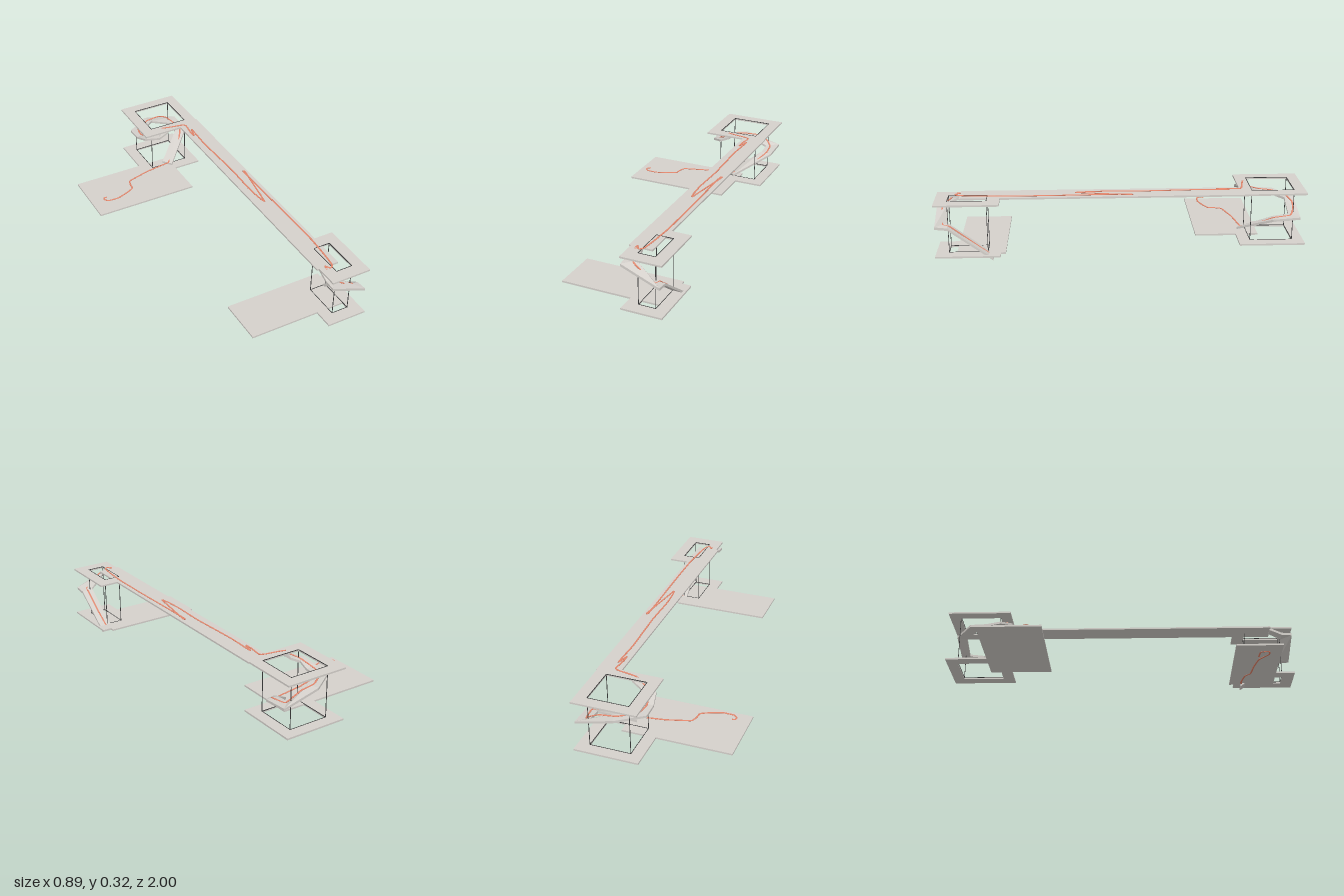
import * as THREE from 'three';

const concrete = new THREE.MeshStandardMaterial({ name: 'concrete grey', color: 0xd4d0cb, side: THREE.DoubleSide });
const steel = new THREE.MeshStandardMaterial({ name: 'dark steel', color: 0x3a3a3a });
const trail = new THREE.MeshStandardMaterial({ name: 'route red', color: 0xe2866c });

const LOW = 0.0215, HIGH = 0.3085, THICK = 0.0095;

function add(parent, name, geometry, material) {
  const mesh = new THREE.Mesh(geometry, material);
  mesh.name = name;
  parent.add(mesh);
  return mesh;
}

// Flat slab given by its plan rectangle and underside height
function slab(parent, name, [x0, x1, z0, z1], y) {
  const g = new THREE.BoxGeometry(x1 - x0, THICK, z1 - z0);
  g.translate((x0 + x1) / 2, y + THICK / 2, (z0 + z1) / 2);
  add(parent, name, g, concrete);
}

// Rectangular slab with a rectangular stair well
function frame(parent, name, [x0, x1, z0, z1], [a0, a1, b0, b1], y) {
  const s = new THREE.Shape([[x0, -z0], [x0, -z1], [x1, -z1], [x1, -z0]].map(p => new THREE.Vector2(...p)));
  s.holes.push(new THREE.Path([[a0, -b0], [a1, -b0], [a1, -b1], [a0, -b1]].map(p => new THREE.Vector2(...p))));
  const g = new THREE.ExtrudeGeometry(s, { depth: THICK, bevelEnabled: false });
  g.rotateX(-Math.PI / 2);
  g.translate(0, y, 0);
  add(parent, name, g, concrete);
}

// Slender posts at the well corners, with rims at floor and deck
function wellPosts(parent, name, [x0, x1, z0, z1]) {
  const group = new THREE.Group();
  group.name = name;
  const bar = (part, w, h, d, x, y, z) =>
    add(group, part, new THREE.BoxGeometry(w, h, d), steel).position.set(x, y, z);
  const t = 0.003, bottom = LOW + THICK, top = HIGH + THICK;
  for (const x of [x0, x1]) for (const z of [z0, z1])
    bar('post', t, top - bottom, t, x, (top + bottom) / 2, z);
  for (const y of [bottom, top]) {
    for (const x of [x0, x1]) bar('rim', t, t, z1 - z0, x, y, (z0 + z1) / 2);
    for (const z of [z0, z1]) bar('rim', x1 - x0, t, t, (x0 + x1) / 2, y, z);
  }
  parent.add(group);
}

// Ramp swept through sections [innerX, innerZ, outerX, outerZ, topY]
function ramp(parent, name, sections, depth) {
  const pos = [];
  const rings = sections.map(([ix, iz, ox, oz, y]) =>
    [[ix, y, iz], [ox, y, oz], [ox, y - depth, oz], [ix, y - depth, iz]]);
  const quad = (a, b, c, d) => pos.push(...a, ...b, ...c, ...a, ...c, ...d);
  for (let i = 0; i < rings.length - 1; i++) {
    const p = rings[i], q = rings[i + 1];
    for (let k = 0; k < 4; k++) {
      const n = (k + 1) % 4;
      quad(p[k], p[n], q[n], q[k]);
    }
  }
  const first = rings[0], last = rings[rings.length - 1];
  quad(first[3], first[2], first[1], first[0]);
  quad(...last);
  const g = new THREE.BufferGeometry();
  g.setAttribute('position', new THREE.Float32BufferAttribute(pos, 3));
  g.computeVertexNormals();
  add(parent, name, g, concrete);
}

// Walking route: a smooth tube flattened towards its own centre line
function route(parent, name, points) {
  const curve = new THREE.CatmullRomCurve3(points.map(p => new THREE.Vector3(...p)), false, 'catmullrom', 0.2);
  const steps = points.length * 10, sides = 20;
  const g = new THREE.TubeGeometry(curve, steps, 0.0046, sides);
  const p = g.attributes.position;
  for (let i = 0; i < p.count; i++) {
    const y = curve.getPointAt(Math.floor(i / (sides + 1)) / steps).y;
    p.setY(i, y + (p.getY(i) - y) * 0.55);
  }
  g.computeVertexNormals();
  add(parent, name, g, trail);
}
const atHeight = (y, list) => list.map(([x, z]) => [x, y, z]);

export function createModel() {
  const model = new THREE.Group();
  model.name = 'footbridge';

  // Bridge deck and the paved areas below
  slab(model, 'bridgeDeck', [0.205, 0.333, -0.68, 0.873], HIGH);
  slab(model, 'backPavement', [-0.445, 0.165, -0.765, -0.415], LOW);
  slab(model, 'frontPavement', [-0.175, 0.39, 0.63, 0.89], LOW);

  // Framed stair wells at each end, on both levels
  const ends = {
    back: { outer: [-0.028, 0.328, -1, -0.642], well: [0.037, 0.264, -0.938, -0.706] },
    front: { outer: [0.217, 0.442, 0.655, 1], well: [0.282, 0.377, 0.725, 0.932] },
  };
  for (const [end, { outer, well }] of Object.entries(ends)) {
    frame(model, end + 'LowerFrame', outer, well, LOW);
    frame(model, end + 'UpperFrame', outer, well, HIGH);
    wellPosts(model, end + 'WellPosts', well);
  }

  // Winding ramps between the levels
  ramp(model, 'backRamp', [
    [0.12, -0.705, 0.12, -0.64, 0.313],
    [0.085, -0.705, 0.06, -0.64, 0.285],
    [0.04, -0.725, -0.01, -0.70, 0.264],
    [0.04, -0.78, -0.027, -0.78, 0.24],
    [0.04, -0.84, -0.027, -0.87, 0.236],
    [0.135, -0.912, 0.115, -0.967, 0.232],
    [0.262, -0.912, 0.327, -0.967, 0.18],
    [0.262, -0.83, 0.327, -0.82, 0.17],
    [0.105, -0.70, 0.145, -0.65, 0.063],
  ], 0.013);
  ramp(model, 'frontRamp', [
    [0.28, 0.87, 0.22, 0.87, 0.314],
    [0.28, 0.932, 0.22, 0.94, 0.282],
    [0.28, 0.935, 0.22, 0.998, 0.278],
    [0.362, 0.935, 0.428, 0.998, 0.193],
    [0.362, 0.925, 0.428, 0.93, 0.186],
    [0.362, 0.695, 0.428, 0.695, 0.014],
  ], 0.014);

  // Routes over pavement, ramps and deck
  route(model, 'backPavementRoute', atHeight(0.063, [
    [0.13, -0.67], [-0.03, -0.645], [-0.1, -0.625], [-0.165, -0.605], [-0.18, -0.57], [-0.185, -0.53],
    [-0.23, -0.505], [-0.3, -0.48], [-0.36, -0.482], [-0.38, -0.5], [-0.375, -0.52], [-0.36, -0.52],
  ]));
  route(model, 'backRampRoute', [
    [0.13, 0.063, -0.67], [0.18, 0.09, -0.715], [0.26, 0.14, -0.78], [0.295, 0.172, -0.83],
    [0.285, 0.18, -0.92], [0.25, 0.212, -0.94], [0.2, 0.233, -0.94],
    [0.11, 0.235, -0.925], [0.02, 0.238, -0.86], [0.005, 0.242, -0.79], [0.03, 0.27, -0.71],
    [0.08, 0.298, -0.675], [0.1, 0.319, -0.68],
  ]);
  route(model, 'deckRoute', atHeight(0.3212, [
    [0.1, -0.68], [0.14, -0.67], [0.22, -0.655], [0.24, -0.64], [0.23, -0.56], [0.232, -0.515],
    [0.25, -0.585], [0.25, -0.53], [0.245, -0.4], [0.255, -0.1], [0.25, 0.1], [0.255, 0.2],
    [0.265, 0.255], [0.29, 0.1], [0.314, -0.05], [0.304, -0.045], [0.305, 0.1], [0.31, 0.4],
    [0.31, 0.65], [0.3, 0.8], [0.29, 0.88], [0.27, 0.9], [0.25, 0.87], [0.25, 0.89],
  ]));
  route(model, 'frontRampRoute', [
    [0.25, 0.319, 0.89], [0.255, 0.281, 0.94], [0.29, 0.267, 0.965], [0.385, 0.193, 0.96],
    [0.395, 0.184, 0.92], [0.395, 0.1, 0.81], [0.39, 0.019, 0.705],
  ]);
  route(model, 'frontPavementRoute', [[0.39, 0.019, 0.705], ...atHeight(0.013, [
    [0.33, 0.695], [0.24, 0.71], [0.2, 0.74], [0.1, 0.75], [0, 0.77], [-0.07, 0.82],
    [-0.11, 0.815], [-0.1, 0.77], [-0.04, 0.765],
  ])]);

  return model;
}
